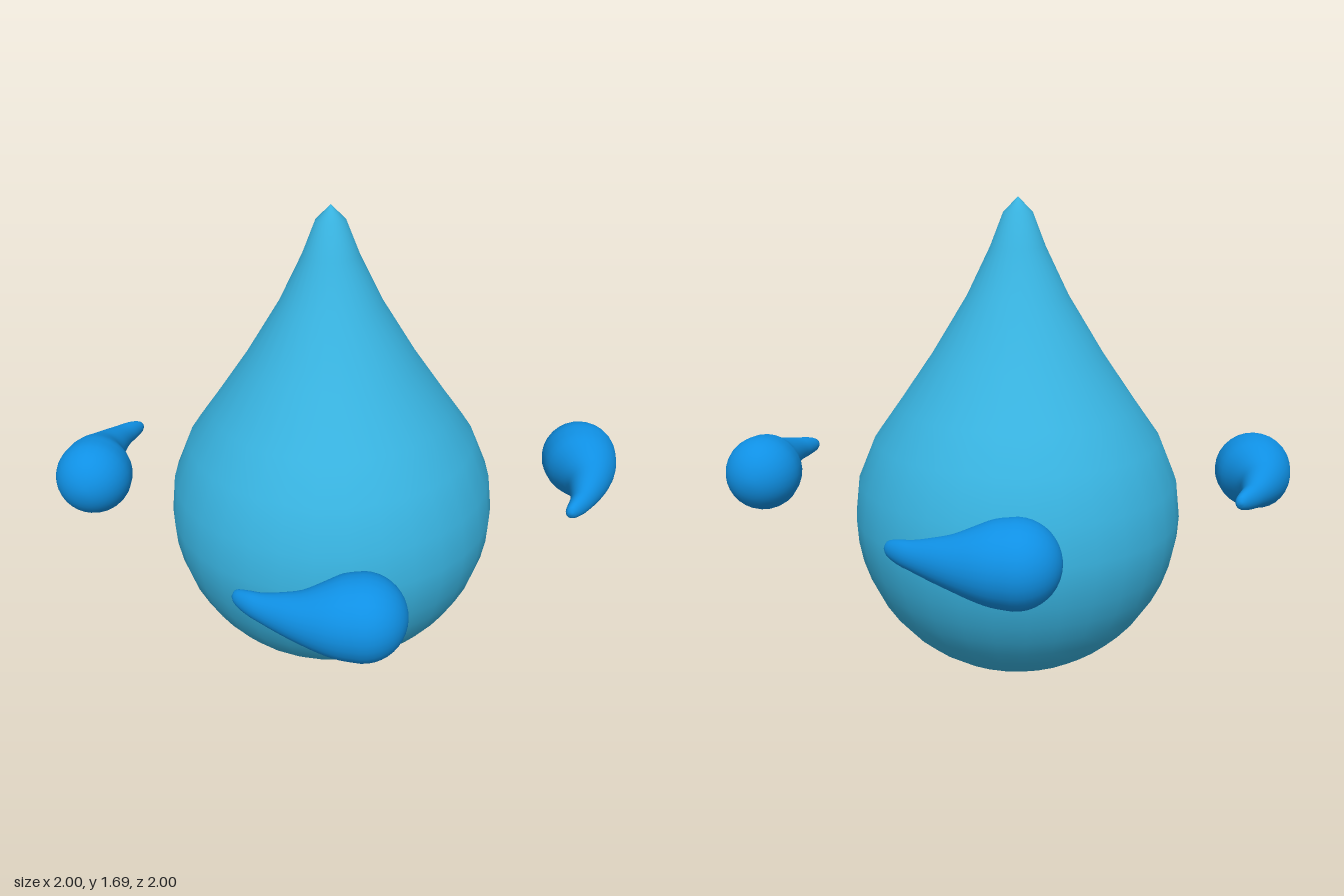
import * as THREE from 'three';
import { mergeVertices } from 'three/addons/utils/BufferGeometryUtils.js';

// Large drop: spherical bottom running into a pointed top
function bodyGeometry() {
  const R = 0.58, cy = 0.588, pts = [];
  for (let i = 0; i <= 12; i++) {
    const a = (i / 12) * Math.PI / 2;
    pts.push(new THREE.Vector2(R * Math.sin(a), cy - R * Math.cos(a)));
  }
  [[0.565, 0.72], [0.505, 0.865], [0.42, 0.985], [0.3, 1.16], [0.175, 1.365],
    [0.095, 1.53], [0.05, 1.645], [0, 1.695]].forEach(([r, y]) => pts.push(new THREE.Vector2(r, y)));
  return new THREE.LatheGeometry(pts, 32);
}

// Small drop: a lathe along x whose rings are shifted in z to bend the tail
function dropletGeometry() {
  // x, radius, z of ring centre
  const stations = [[-0.25, 0, 0.805], [-0.24, 0.021, 0.806], [-0.2, 0.037, 0.829],
    [-0.155, 0.046, 0.851], [-0.09, 0.064, 0.872], [-0.03, 0.082, 0.884],
    [0.03, 0.106, 0.88], [0.085, 0.125, 0.87], [0.147, 0.133, 0.867]];
  const curve = new THREE.CatmullRomCurve3(stations.map(s => new THREE.Vector3(...s)));
  const rings = curve.getPoints(24);
  for (let i = 1; i <= 10; i++) {
    const a = (i / 10) * Math.PI / 2;
    rings.push(new THREE.Vector3(0.147 + 0.133 * Math.sin(a), 0.133 * Math.cos(a), 0.867));
  }
  let geo = new THREE.LatheGeometry(rings.map(p => new THREE.Vector2(Math.max(0, p.y), p.x)), 28);
  geo.rotateZ(-Math.PI / 2);
  const pos = geo.attributes.position;
  for (let i = 0; i < pos.count; i++) {
    const ring = rings[i % rings.length];
    // the tail is slightly flattened
    const flat = 0.9 + 0.1 * THREE.MathUtils.smoothstep(ring.x, -0.05, 0.1);
    pos.setZ(i, ring.z + pos.getZ(i) * flat);
  }
  geo.deleteAttribute('uv');
  geo.deleteAttribute('normal');
  geo = mergeVertices(geo, 1e-5);
  geo.computeVertexNormals();
  return geo;
}

export function createModel() {
  const model = new THREE.Group();
  model.name = 'waterDrop';

  const body = new THREE.Mesh(bodyGeometry(), new THREE.MeshStandardMaterial({ color: 0x38b3e0 }));
  body.name = 'largeDrop';
  body.position.x = -0.03;
  model.add(body);

  // Four droplets circling the large drop
  const geo = dropletGeometry();
  const material = new THREE.MeshStandardMaterial({ color: 0x0f90e4 });
  ['front', 'left', 'back', 'right'].forEach((side, i) => {
    const droplet = new THREE.Mesh(geo, material);
    droplet.name = side + 'Droplet';
    droplet.position.y = 0.73;
    droplet.rotation.y = i * Math.PI / 2;
    model.add(droplet);
  });
  return model;
}
